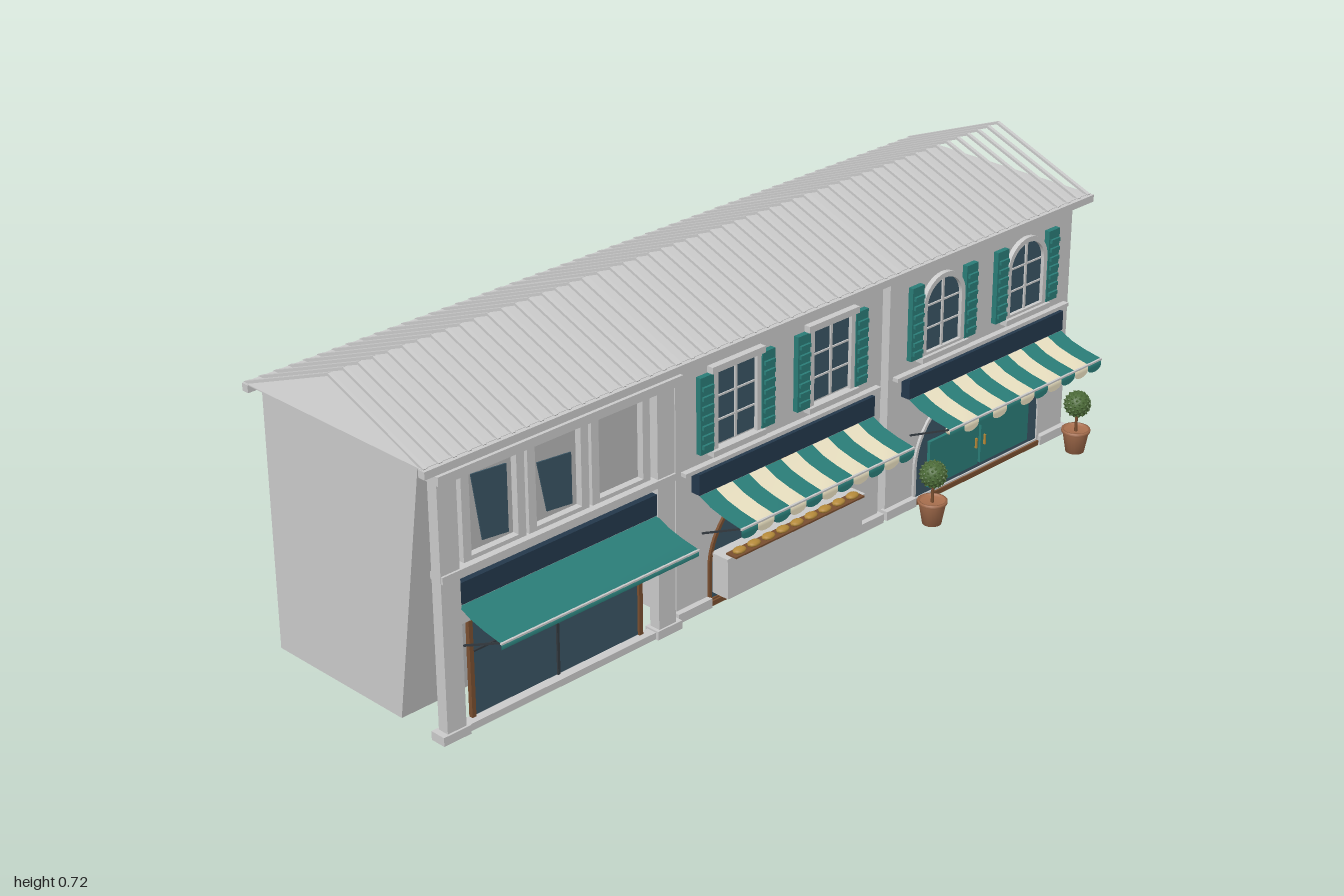
import * as THREE from 'three';

const mat = (color, flatShading = false) =>
  new THREE.MeshStandardMaterial({ color, flatShading, side: THREE.DoubleSide });
const GREY = mat(0xcccccc), TEAL = mat(0x2a7d78), GLASS = mat(0x3a5564), NAVY = mat(0x24384c),
  CREAM = mat(0xe8dfc0), WOOD = mat(0x7a4f30), CLAY = mat(0xa86f4e), LEAF = mat(0x4c6b38, true),
  BREAD = mat(0xb58a3a), DARK = mat(0x333a40);

function add(parent, name, geo, material, x = 0, y = 0, z = 0) {
  const m = new THREE.Mesh(geo, material);
  m.name = name;
  m.position.set(x, y, z);
  parent.add(m);
  return m;
}

// box given by its limits on each axis
function box(parent, name, material, x0, x1, y0, y1, z0, z1) {
  return add(parent, name, new THREE.BoxGeometry(x1 - x0, y1 - y0, z1 - z0), material,
    (x0 + x1) / 2, (y0 + y1) / 2, (z0 + z1) / 2);
}

// straight bar between two points in the same x plane
function bar(parent, name, material, x, a, b, w, h) {
  const dy = b[1] - a[1], dz = b[0] - a[0];
  const m = add(parent, name, new THREE.BoxGeometry(w, h, Math.hypot(dy, dz)), material,
    x, (a[1] + b[1]) / 2, (a[0] + b[0]) / 2);
  m.rotation.x = -Math.atan2(dy, dz);
  return m;
}

// upright outline with an elliptical top: half width w, bottom y0, spring y1, top y2
function archPath(Type, w, y0, y1, y2) {
  const p = new Type();
  p.moveTo(-w, y0);
  p.lineTo(w, y0);
  p.lineTo(w, y1);
  p.absellipse(0, y1, w, y2 - y1, 0, Math.PI, false, 0);
  p.lineTo(-w, y0);
  return p;
}

const slab = (shape, depth) =>
  new THREE.ExtrudeGeometry(shape, { depth, bevelEnabled: false, curveSegments: 20 });

function archFrame(w, y0, y1, y2, t, depth) {
  const s = archPath(THREE.Shape, w + t, y0, y1, y2 + t);
  s.holes.push(archPath(THREE.Path, w, y0 + t / 2, y1, y2));
  return slab(s, depth);
}

// canvas awning with stripes, scalloped edge and folding arms
function awning(parent, half, stripes) {
  const g = new THREE.Group();
  g.name = 'awning';
  const profile = [[0.212, 0.285], [0.245, 0.270], [0.285, 0.260], [0.333, 0.252], [0.333, 0.238]];
  const w = (2 * half) / stripes;
  for (let i = 0; i < stripes; i++) {
    const geo = new THREE.PlaneGeometry(w, 1, 1, profile.length - 1), p = geo.attributes.position;
    for (let k = 0; k < p.count; k++) {
      const [z, y] = profile[Math.floor(k / 2)];
      p.setXYZ(k, p.getX(k), y, z);
    }
    geo.computeVertexNormals();
    const x = -half + (i + 0.5) * w, m = i % 2 ? CREAM : TEAL;
    add(g, 'awningStripe', geo, m, x);
    if (stripes > 1) {
      add(g, 'awningScallop', new THREE.CircleGeometry(w / 2, 8, Math.PI, Math.PI), m, x, 0.238, 0.333)
        .scale.y = 0.5;
    }
  }
  box(g, 'awningRail', GREY, -half, half, 0.249, 0.253, 0.330, 0.335);
  for (const s of [-1, 1]) bar(g, 'awningArm', DARK, s * (half - 0.01), [0.21, 0.194], [0.331, 0.25], 0.004, 0.004);
  parent.add(g);
}

// shuttered upstairs window, square or arched
function shutteredWindow(parent, x, arched) {
  const g = new THREE.Group();
  g.name = 'shutteredWindow';
  g.position.x = x;
  const top = 0.545, spring = arched ? 0.485 : 0.544;
  if (arched) {
    add(g, 'windowGlass', slab(archPath(THREE.Shape, 0.058, 0.375, spring, top - 0.005), 0.003), GLASS, 0, 0, 0.19);
    add(g, 'windowFrame', archFrame(0.058, 0.37, spring, top - 0.005, 0.012, 0.012), GREY, 0, 0, 0.19);
  } else {
    box(g, 'windowGlass', GLASS, -0.058, 0.058, 0.375, top, 0.188, 0.193);
    for (const s of [-1, 1]) box(g, 'windowJamb', GREY, s * 0.064 - 0.006, s * 0.064 + 0.006, 0.37, top, 0.19, 0.202);
    box(g, 'windowLintel', GREY, -0.078, 0.078, top, 0.56, 0.19, 0.206);
  }
  box(g, 'windowMullion', GREY, -0.003, 0.003, 0.375, top - 0.005, 0.19, 0.197);
  for (const y of [0.43, 0.485]) box(g, 'windowGlazingBar', GREY, -0.056, 0.056, y - 0.002, y + 0.002, 0.19, 0.196);
  box(g, 'windowSill', GREY, -0.078, 0.078, 0.357, 0.37, 0.19, 0.21);
  for (const s of [-1, 1]) {
    const c = s * 0.091;
    box(g, 'shutter', TEAL, c - 0.019, c + 0.019, 0.37, top, 0.19, 0.203);
    for (let i = 0; i < 7; i++) {
      box(g, 'shutterSlat', TEAL, c - 0.015, c + 0.015, 0.383 + i * 0.022, 0.392 + i * 0.022, 0.203, 0.209);
    }
  }
  parent.add(g);
}

// rafters, flat deck and eaves shared by all houses
function roof(parent) {
  const g = new THREE.Group();
  g.name = 'roof';
  box(g, 'roofDeck', GREY, -0.335, 0.335, 0.606, 0.608, -0.33, 0.215);
  for (let i = 0; i < 19; i++) {
    const x = -0.328 + (i * 0.656) / 18;
    for (const z of [0.218, -0.332]) bar(g, 'roofRib', GREY, x, [z, 0.606], [-0.058, 0.713], 0.009, 0.006);
  }
  for (const z of [0.217, -0.324]) box(g, 'eavesGutter', GREY, -0.337, 0.337, 0.59, 0.607, z - 0.009, z + 0.009);
  parent.add(g);
}

function signBand(parent, half) {
  box(parent, 'signBoard', NAVY, -half, half, 0.287, 0.335, 0.19, 0.214);
}

// left house: piers, glazed shopfront and a row of three casements
function galleryHouse(g) {
  const side = new THREE.Shape([[-0.31, 0], [0.08, 0], [0.17, 0.592], [-0.31, 0.592]]
    .map(([z, y]) => new THREE.Vector2(-z, y)));
  add(g, 'houseBody', slab(side, 0.63), GREY, -0.315).rotation.y = Math.PI / 2;
  box(g, 'plinth', GREY, -0.315, 0.315, 0, 0.016, 0.19, 0.215);
  for (const s of [-1, 1]) {
    box(g, 'pier', GREY, s * 0.287 - 0.024, s * 0.287 + 0.024, 0, 0.58, 0.19, 0.217);
    box(g, 'pierBase', GREY, s * 0.29 - 0.035, s * 0.29 + 0.035, 0, 0.02, 0.184, 0.222);
    box(g, 'doorJamb', WOOD, s * 0.228 - 0.005, s * 0.228 + 0.005, 0.016, 0.235, 0.19, 0.2);
  }
  box(g, 'shopGlass', GLASS, -0.225, 0.225, 0.016, 0.24, 0.19, 0.194);
  box(g, 'shopMullion', DARK, -0.003, 0.003, 0.016, 0.24, 0.194, 0.198);
  box(g, 'shopTransom', DARK, -0.225, 0.225, 0.16, 0.164, 0.194, 0.198);
  box(g, 'shopHead', GREY, -0.265, 0.265, 0.235, 0.355, 0.185, 0.2);
  box(g, 'ledge', GREY, -0.31, 0.31, 0.353, 0.369, 0.185, 0.222);
  box(g, 'cornice', GREY, -0.32, 0.32, 0.57, 0.59, 0.185, 0.234);
  // casements, partly showing tilted panes
  for (let i = -1; i <= 1; i++) {
    const c = i * 0.168 + 0.005, s = new THREE.Shape(), hole = new THREE.Path();
    s.moveTo(-0.08, 0.369).lineTo(0.08, 0.369).lineTo(0.08, 0.57).lineTo(-0.08, 0.57);
    hole.moveTo(-0.06, 0.378).lineTo(-0.06, 0.555).lineTo(0.06, 0.555).lineTo(0.06, 0.378);
    s.holes.push(hole);
    add(g, 'casementFrame', slab(s, 0.016), GREY, c, 0, 0.19);
    if (i < 1) {
      const h = i < 0 ? 0.535 : 0.5;
      const pane = new THREE.Shape([[-0.035, h], [0.055, h - 0.008], [0.055, 0.378], [-0.012, 0.385]]
        .map(p => new THREE.Vector2(...p)));
      add(g, 'casementPane', slab(pane, 0.003), GLASS, c, 0, 0.18);
    }
  }
  signBand(g, 0.265);
  awning(g, 0.265, 1);
}

// middle and right houses share walls, arch and shuttered windows
function archedHouse(g, archedWindows) {
  box(g, 'houseBody', GREY, -0.315, 0.315, 0, 0.592, -0.31, 0.19);
  for (const s of [-1, 1]) box(g, 'plinth', GREY, s * 0.272 - 0.05, s * 0.272 + 0.05, 0, 0.022, 0.184, 0.204);
  box(g, 'threshold', WOOD, -0.22, 0.22, 0, 0.012, 0.19, 0.2);
  add(g, 'archGlass', slab(archPath(THREE.Shape, 0.22, 0.012, 0.09, 0.268), 0.003), GLASS, 0, 0, 0.189);
  add(g, 'archTrim', archFrame(0.216, 0.012, 0.09, 0.264, 0.008, 0.007), archedWindows ? GREY : WOOD, 0, 0, 0.189);
  box(g, 'ledge', GREY, -0.3, 0.3, 0.335, 0.344, 0.185, 0.205);
  for (const x of [-0.145, 0.145]) shutteredWindow(g, x, archedWindows);
  signBand(g, 0.27);
  awning(g, 0.268, 11);
}

function bakeryCounter(g) {
  box(g, 'counter', GREY, -0.21, 0.21, 0.028, 0.12, 0.19, 0.238);
  box(g, 'counterTop', GREY, -0.215, 0.215, 0.12, 0.126, 0.19, 0.241);
  box(g, 'breadTray', WOOD, -0.2, 0.2, 0.126, 0.13, 0.222, 0.252);
  for (let i = 0; i < 9; i++) {
    add(g, 'loaf', new THREE.SphereGeometry(0.012, 10, 8), BREAD, -0.176 + i * 0.044, 0.134, 0.238).scale.set(1.5, 0.6, 1);
  }
}

function cafeFront(g) {
  for (const s of [-1, 1]) {
    box(g, 'doorPanel', TEAL, s * 0.09 - 0.086, s * 0.09 + 0.086, 0.03, 0.145, 0.19, 0.2);
    box(g, 'doorHandle', BREAD, s * 0.015 - 0.002, s * 0.015 + 0.002, 0.075, 0.1, 0.2, 0.205);
  }
  for (let i = -2; i <= 2; i++) {
    add(g, 'lamp', new THREE.SphereGeometry(0.01, 10, 8), CREAM, i * 0.055, 0.152, 0.2);
  }
}

function pottedTree(parent, x) {
  const g = new THREE.Group();
  g.name = 'pottedTree';
  g.position.set(x, 0, 0.28);
  const pot = [[0, 0], [0.022, 0], [0.031, 0.05], [0.034, 0.051], [0.034, 0.058], [0.029, 0.058], [0.028, 0.052], [0, 0.052]];
  add(g, 'pot', new THREE.LatheGeometry(pot.map(p => new THREE.Vector2(...p)), 20), CLAY);
  add(g, 'trunk', new THREE.CylinderGeometry(0.003, 0.004, 0.05, 8), WOOD, 0, 0.076, 0);
  add(g, 'foliage', new THREE.IcosahedronGeometry(0.03, 3), LEAF, 0, 0.122, 0);
  // small leaves spread evenly over the ball
  for (let i = 0; i < 110; i++) {
    const y = 1 - (2 * (i + 0.5)) / 110, r = Math.sqrt(1 - y * y), a = i * 2.39996;
    const d = new THREE.Vector3(r * Math.cos(a), y, r * Math.sin(a));
    const leaf = add(g, 'leaf', new THREE.OctahedronGeometry(0.005), LEAF, d.x * 0.03, 0.122 + d.y * 0.03, d.z * 0.03);
    leaf.lookAt(d.multiplyScalar(2).add(leaf.position));
    leaf.scale.set(0.8, 0.8, 0.7);
  }
  parent.add(g);
}

export function createModel() {
  const model = new THREE.Group();
  model.name = 'shopRow';
  const houses = ['galleryHouse', 'bakeryHouse', 'cafeHouse'].map((name, i) => {
    const g = new THREE.Group();
    g.name = name;
    g.position.x = (i - 1) * 0.655;
    model.add(g);
    const r = new THREE.Group();
    r.position.x = (i - 1) * 0.663;
    r.name = 'roofSection';
    roof(r);
    model.add(r);
    return g;
  });
  galleryHouse(houses[0]);
  archedHouse(houses[1], false);
  bakeryCounter(houses[1]);
  archedHouse(houses[2], true);
  cafeFront(houses[2]);
  for (const x of [0.398, 0.912]) pottedTree(model, x);
  return model;
}
